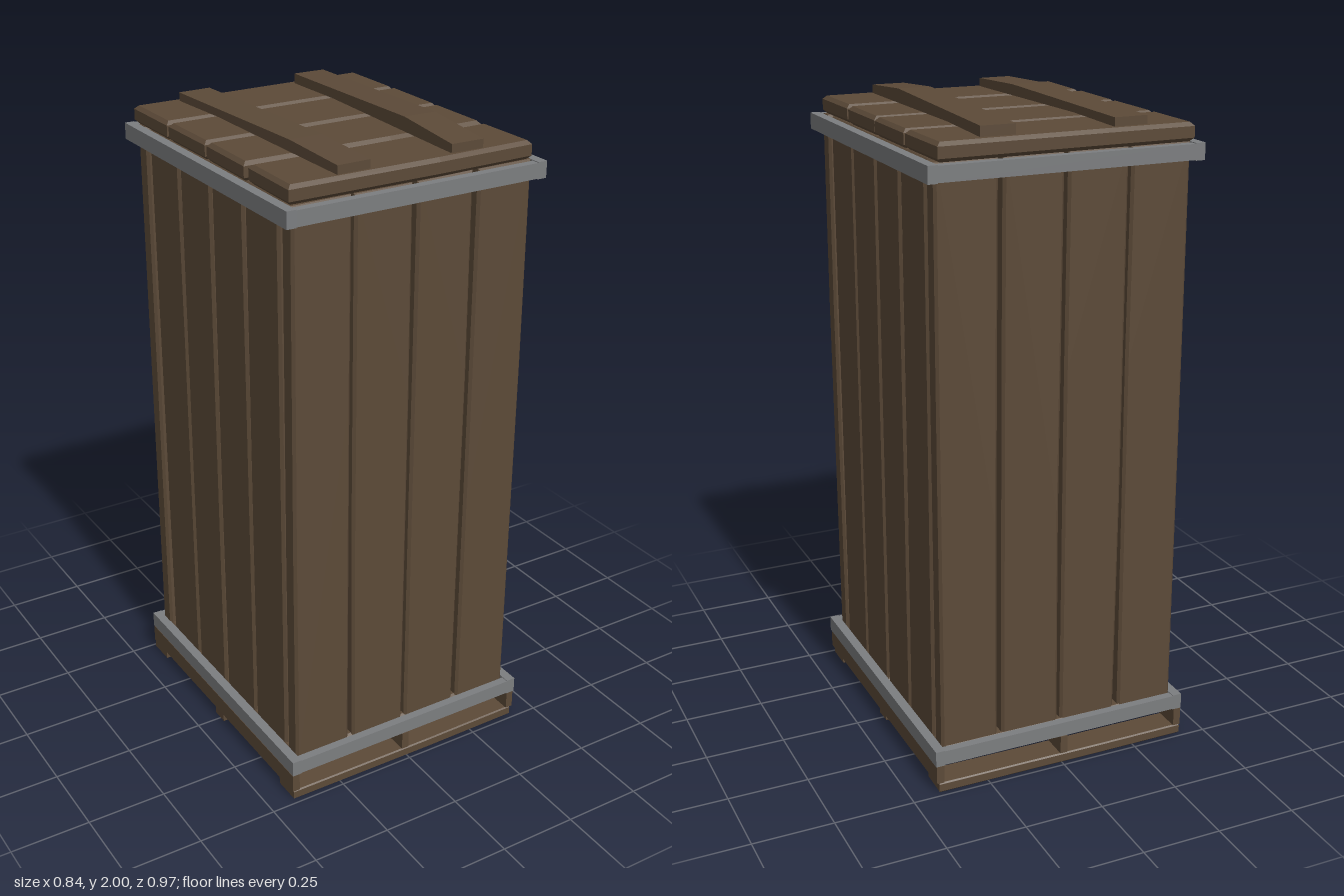
import * as THREE from 'three';

const wood = new THREE.MeshStandardMaterial({ color: 0x5c4a38, flatShading: true });
const metal = new THREE.MeshStandardMaterial({ color: 0x7c7e80, flatShading: true });

// small seeded generator for the rough-hewn plank outlines
let seed = 7;
const wobble = (amount) => {
  seed = (seed * 16807) % 2147483647;
  return (seed / 2147483647 - 0.5) * 2 * amount;
};

// chamfered plank with a slightly uneven outline: width on x, length on y, thickness on z
function plankGeometry(width, length, thick, rough, bevel = 0.008) {
  const w = width / 2, l = length / 2;
  const outline = [[-w, -l], [w, -l], [w, l * 0.3], [w, l], [-w, l], [-w, -l * 0.2]]
    .map(([x, y]) => new THREE.Vector2(x + wobble(rough), y + wobble(rough * 0.6)));
  return new THREE.ExtrudeGeometry(new THREE.Shape(outline), {
    depth: thick - 2 * bevel, bevelThickness: bevel, bevelSize: bevel,
    bevelOffset: -bevel, bevelSegments: 1,
  }).translate(0, 0, bevel - thick / 2);
}

function add(parent, name, geometry, material, x, y, z) {
  const mesh = new THREE.Mesh(geometry, material);
  mesh.name = name;
  mesh.position.set(x, y, z);
  parent.add(mesh);
  return mesh;
}

function box(parent, name, material, w, h, d, x, y, z) {
  return add(parent, name, new THREE.BoxGeometry(w, h, d), material, x, y, z);
}

function group(parent, name) {
  const g = new THREE.Group();
  g.name = name;
  parent.add(g);
  return g;
}

// four planks lying side by side along z
function deck(parent, name, y, thick) {
  [-0.355, -0.122, 0.11, 0.347].forEach((z) => {
    const geo = plankGeometry(0.222, 0.785, thick, 0.004, 0.011).rotateZ(Math.PI / 2).rotateX(-Math.PI / 2);
    add(parent, name, geo, wood, -0.004, y, z);
  });
}

// rectangular metal frame around the walls
function strap(parent, y) {
  for (const s of [-1, 1]) {
    box(parent, 'strapSide', metal, 0.03, 0.05, 0.972, s * 0.407, y, 0);
    box(parent, 'strapEnd', metal, 0.784, 0.046, 0.026, 0, y, s * 0.473);
  }
}

// gently bowed batten laid across the lid
function batten(parent, x, rise, turn) {
  const profile = [[-0.44, 0], [-0.2, 0.006], [0.44, 0], [0.44, 0.026], [0.2, 0.032 + rise], [-0.44, 0.024 + rise * 0.5]]
    .map(([z, y]) => new THREE.Vector2(-z, y));
  const geo = new THREE.ExtrudeGeometry(new THREE.Shape(profile), { depth: 0.104, bevelEnabled: false })
    .translate(0, 0, -0.052).rotateY(Math.PI / 2);
  add(parent, 'lidBatten', geo, wood, x, 1.955, 0).rotation.y = turn;
}

export function createModel() {
  const model = new THREE.Group();
  model.name = 'crate';

  // skid: cross boards on the ground and upright runners above them
  const skid = group(model, 'skid');
  [[-0.44, 0.09], [0, 0.056], [0.44, 0.09]].forEach(([z, d]) =>
    add(skid, 'skidBoard', plankGeometry(d, 0.83, 0.032, 0.002, 0.004)
      .rotateZ(Math.PI / 2).rotateX(-Math.PI / 2), wood, -0.004, 0.016, z));
  [-0.41, -0.007, 0.407].forEach((x) =>
    box(skid, 'skidRunner', wood, 0.024, 0.058, 0.968, x, 0.061, 0));

  // floor
  deck(group(model, 'floor'), 'floorPlank', 0.115, 0.05);

  // walls: four planks on each side
  const walls = group(model, 'walls');
  const bottom = 0.12, top = 1.9;
  const height = top - bottom, middle = (top + bottom) / 2;
  for (const s of [-1, 1]) {
    for (let i = 0; i < 4; i++) {
      const k = i - 1.5;
      add(walls, s > 0 ? 'frontPlank' : 'backPlank',
        plankGeometry(0.186, height, 0.056, 0.003), wood, k * 0.199, middle, s * 0.43);
      add(walls, s > 0 ? 'leftPlank' : 'rightPlank',
        plankGeometry(0.184, height, 0.056, 0.003).rotateY(s * Math.PI / 2), wood, s * 0.361, middle, k * 0.194);
    }
  }

  // metal straps at the foot and the head
  const straps = group(model, 'straps');
  strap(straps, 0.117);
  strap(straps, 1.875);

  // lid with two battens
  const lid = group(model, 'lid');
  deck(lid, 'lidPlank', 1.928, 0.055);
  batten(lid, -0.198, 0.004, 0.02);
  batten(lid, 0.188, 0.013, -0.023);

  return model;
}
